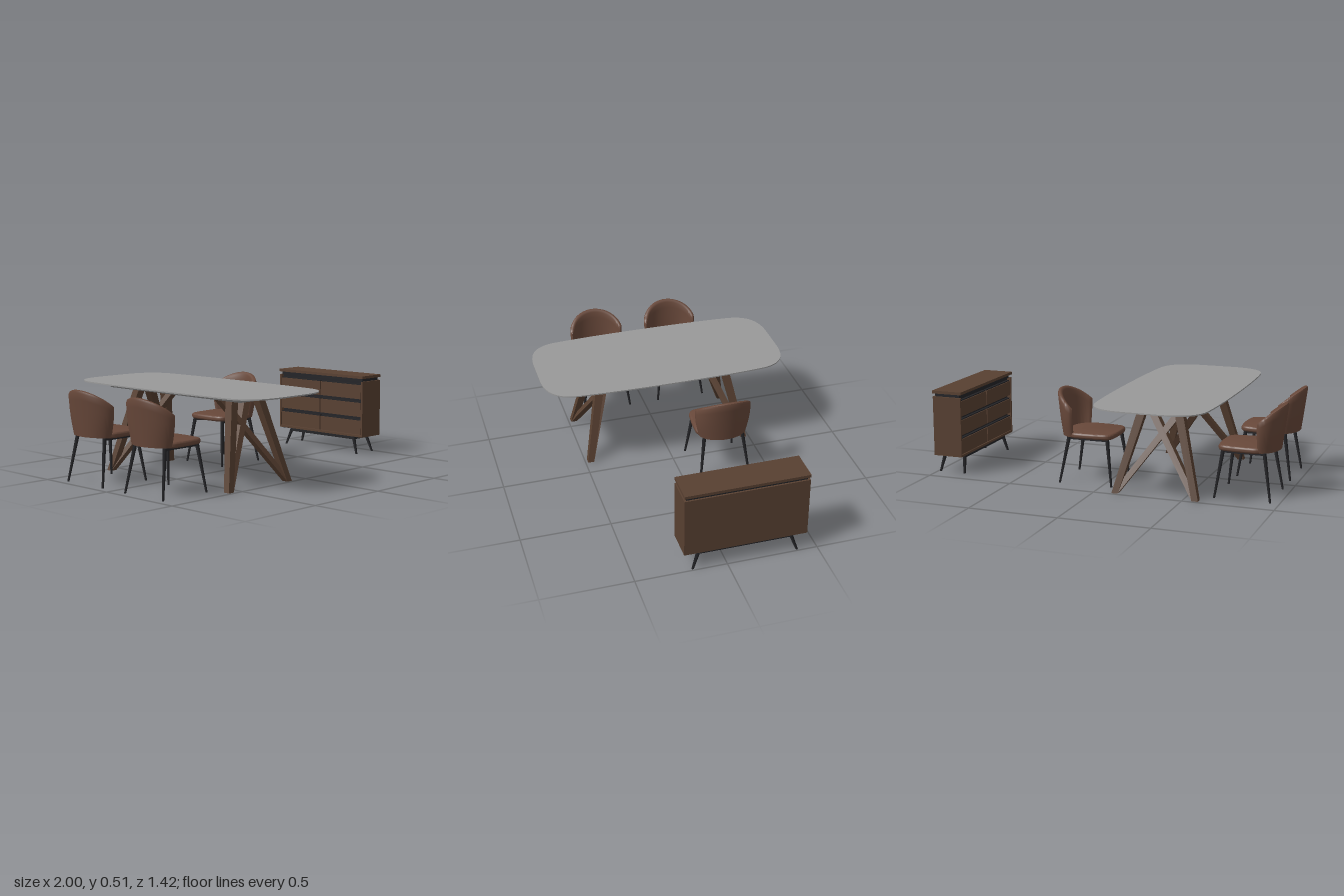
import * as THREE from 'three';
import { toCreasedNormals } from 'three/addons/utils/BufferGeometryUtils.js';

const material = (color) => new THREE.MeshStandardMaterial({ color });
const walnut = material(0x584031);
const leather = material(0x68483a);
const black = material(0x232326);
const grey = material(0x999999);

function add(parent, name, geometry, mat) {
  const mesh = new THREE.Mesh(geometry, mat);
  mesh.name = name;
  parent.add(mesh);
  return mesh;
}

function group(parent, name) {
  const g = new THREE.Group();
  g.name = name;
  parent.add(g);
  return g;
}

// Box given by its minimum and maximum corners
function block(parent, name, a, b, mat) {
  const geo = new THREE.BoxGeometry(b[0] - a[0], b[1] - a[1], b[2] - a[2]);
  geo.translate((a[0] + b[0]) / 2, (a[1] + b[1]) / 2, (a[2] + b[2]) / 2);
  return add(parent, name, geo, mat);
}

// Slanted, tapered leg with level ends; square or round
function leg(parent, name, foot, top, footSize, topSize, mat, round) {
  const h = top[1] - foot[1];
  const geo = round ? new THREE.CylinderGeometry(0.5, 0.5, 1, 12) : new THREE.BoxGeometry(1, 1, 1);
  const p = geo.attributes.position;
  for (let i = 0; i < p.count; i++) {
    const t = p.getY(i) + 0.5;
    const s = footSize + (topSize - footSize) * t;
    p.setXYZ(i, p.getX(i) * s + foot[0] + (top[0] - foot[0]) * t, foot[1] + h * t,
      p.getZ(i) * s + foot[2] + (top[2] - foot[2]) * t);
  }
  if (!round) geo.computeVertexNormals();
  return add(parent, name, geo, mat);
}

// Flat plate from a plan shape, standing on y
function plate(shape, y, depth, bevel) {
  const geo = new THREE.ExtrudeGeometry(shape, {
    depth: depth - 2 * bevel, bevelEnabled: bevel > 0, bevelThickness: bevel,
    bevelSize: bevel, bevelOffset: -bevel, bevelSegments: 4, curveSegments: 14,
  });
  geo.rotateX(-Math.PI / 2).translate(0, y + bevel, 0);
  return toCreasedNormals(geo, 0.7);
}

// Curved backrest that wraps the rear of the seat, lower at its wings
function backrestGeometry() {
  const section = [[1, 0], [1, 0.2], [1, 0.4], [1, 0.6], [1, 0.8], [1, 0.94], [0.65, 0.985], [0, 1],
    [-0.65, 0.985], [-1, 0.94], [-1, 0.8], [-1, 0.6], [-1, 0.4], [-1, 0.2], [-1, 0]];
  const n = 40, m = section.length, pos = [], index = [];
  for (let i = 0; i <= n; i++) {
    const s = (i / n) * 2 - 1;
    const a = s * Math.PI / 2;
    const half = 0.014 * Math.sqrt(Math.max(0, 1 - s ** 10));
    const top = 0.425 + 0.09 * Math.cos(a);
    for (const [o, v] of section) {
      const y = 0.262 + v * (top - 0.262);
      const k = (y - 0.262) / 0.25;
      const depth = 0.085 + 0.033 * k + o * half;
      const width = 0.128 + 0.024 * Math.sin(Math.min(1, k * 1.7) * Math.PI / 2) + o * half;
      pos.push(-0.05 - depth * Math.cos(a), y, width * Math.sin(a));
    }
  }
  for (let i = 0; i < n; i++) {
    for (let j = 0; j < m; j++) {
      const a = i * m + j, b = i * m + (j + 1) % m;
      index.push(a, a + m, b, a + m, b + m, b);
    }
  }
  const geo = new THREE.BufferGeometry();
  geo.setAttribute('position', new THREE.Float32BufferAttribute(pos, 3));
  geo.setIndex(index);
  geo.computeVertexNormals();
  return toCreasedNormals(geo, 0.8);
}

// Chair facing +x
function chair(parent, x, z, turn) {
  const g = group(parent, 'chair');
  const s = new THREE.Shape();
  s.moveTo(-0.125, 0.05);
  s.quadraticCurveTo(-0.11, 0.125, -0.04, 0.148);
  s.quadraticCurveTo(0.04, 0.15, 0.125, 0.137);
  s.quadraticCurveTo(0.165, 0.13, 0.17, 0.09);
  s.quadraticCurveTo(0.182, 0, 0.17, -0.09);
  s.quadraticCurveTo(0.165, -0.13, 0.125, -0.137);
  s.quadraticCurveTo(0.04, -0.15, -0.04, -0.148);
  s.quadraticCurveTo(-0.11, -0.125, -0.125, -0.05);
  s.closePath();
  add(g, 'seat', plate(s, 0.257, 0.032, 0.013), leather);
  add(g, 'backrest', backrestGeometry(), leather);
  for (const side of [-1, 1]) {
    leg(g, 'frontLeg', [0.176, 0, side * 0.145], [0.14, 0.258, side * 0.112], 0.012, 0.022, black, true);
    leg(g, 'rearLeg', [-0.13, 0, side * 0.145], [-0.085, 0.258, side * 0.112], 0.012, 0.022, black, true);
    // Crossed rails under the seat
    const rail = block(g, 'seatRail', [-0.158, -0.006, -0.008], [0.158, 0.006, 0.008], black);
    rail.position.set(0.0275, 0.251, 0);
    rail.rotation.y = side * Math.atan2(0.224, 0.225);
    block(g, 'sideRail', [-0.085, 0.246, side * 0.112 - 0.006], [0.14, 0.258, side * 0.112 + 0.006], black);
  }
  g.position.set(x, 0, z);
  g.rotation.y = turn;
}

function table(parent) {
  const g = group(parent, 'table');
  // Bowed top with broad rounded corners
  const s = new THREE.Shape();
  s.moveTo(-0.1, 0.712);
  s.lineTo(0.1, 0.712);
  s.bezierCurveTo(0.24, 0.708, 0.305, 0.65, 0.312, 0.53);
  s.bezierCurveTo(0.333, 0.3, 0.333, -0.3, 0.312, -0.53);
  s.bezierCurveTo(0.305, -0.65, 0.24, -0.708, 0.1, -0.712);
  s.lineTo(-0.1, -0.712);
  s.bezierCurveTo(-0.24, -0.708, -0.305, -0.65, -0.312, -0.53);
  s.bezierCurveTo(-0.333, -0.3, -0.333, 0.3, -0.312, 0.53);
  s.bezierCurveTo(-0.305, 0.65, -0.24, 0.708, -0.1, 0.712);
  add(g, 'tableTop', plate(s, 0.5, 0.007, 0), grey);

  // Underframe narrowing downwards
  const geo = new THREE.BoxGeometry(0.42, 0.032, 1.08);
  const p = geo.attributes.position;
  for (let i = 0; i < p.count; i++) {
    if (p.getY(i) < 0) {
      p.setX(i, p.getX(i) - Math.sign(p.getX(i)) * 0.025);
      p.setZ(i, p.getZ(i) - Math.sign(p.getZ(i)) * 0.03);
    }
  }
  geo.computeVertexNormals();
  geo.translate(0, 0.485, 0);
  add(g, 'underframe', geo, grey);

  // At each foot one steep leg and one crossing leg
  for (const sx of [-1, 1]) {
    for (const sz of [-1, 1]) {
      const foot = [sx * 0.226, 0, sz * 0.468];
      leg(g, 'steepLeg', foot, [sx * 0.098, 0.472, sz * 0.365], 0.036, 0.048, walnut);
      leg(g, 'crossLeg', foot, [-sx * 0.105, 0.472, sz * 0.27], 0.036, 0.046, walnut);
    }
  }
  g.position.x = -0.342;
}

function sideboard(parent) {
  const g = group(parent, 'sideboard');
  const L = 0.3375;
  block(g, 'top', [-0.09, 0.464, -L], [0.09, 0.48, L], walnut);
  block(g, 'topRecess', [-0.074, 0.444, -L + 0.012], [0.076, 0.464, L - 0.012], black);
  block(g, 'backPanel', [0.073, 0.105, -L], [0.086, 0.446, L], walnut);
  block(g, 'bottomPanel', [-0.086, 0.105, -L], [0.073, 0.118, L], walnut);
  block(g, 'interior', [-0.062, 0.118, -L + 0.012], [0.073, 0.444, L - 0.012], black);
  for (const side of [-1, 1]) {
    const z = side * (L - 0.006);
    block(g, 'endPanel', [-0.086, 0.118, z - 0.006], [0.073, 0.446, z + 0.006], walnut);
    // Three drawers per column with a dark finger gap above each
    for (let row = 0; row < 3; row++) {
      const y = 0.121 + row * 0.109;
      const c = side * 0.163;
      block(g, 'drawerFront', [-0.084, y, c - 0.159], [-0.062, y + 0.086, c + 0.159], walnut);
      block(g, 'drawerGrip', [-0.078, y + 0.086, c - 0.159], [-0.062, y + 0.092, c + 0.159], black);
    }
    // Base rails and splayed legs
    block(g, 'longRail', [side * 0.062 - 0.008, 0.085, -0.26], [side * 0.062 + 0.008, 0.105, 0.26], black);
    block(g, 'shortRail', [-0.062, 0.085, side * 0.252 - 0.008], [0.062, 0.105, side * 0.252 + 0.008], black);
    for (const sx of [-1, 1]) {
      leg(g, 'leg', [sx * 0.076, 0, side * 0.288], [sx * 0.06, 0.105, side * 0.25], 0.013, 0.024, black, true);
    }
  }
  block(g, 'baseBoard', [-0.078, 0.102, -L + 0.012], [0.078, 0.105, L - 0.012], black);
  g.position.set(0.91, 0, -0.1025);
}

export function createModel() {
  const model = new THREE.Group();
  model.name = 'diningSet';
  table(model);
  sideboard(model);
  chair(model, -0.82, -0.235, 0);
  chair(model, -0.82, 0.235, 0);
  chair(model, 0.118, -0.235, Math.PI);
  return model;
}
